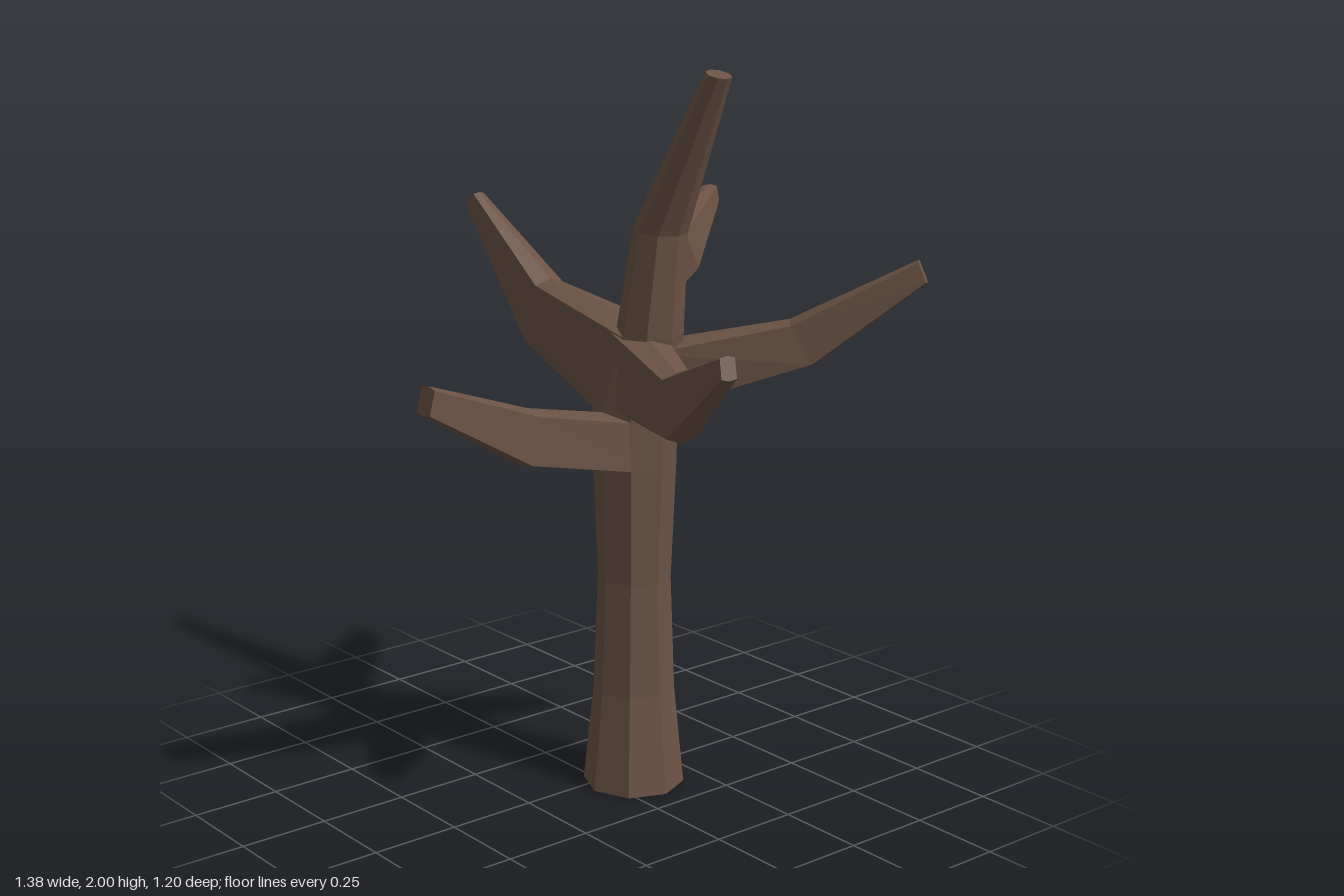
import * as THREE from 'three';

const bark = new THREE.MeshStandardMaterial({ color: 0x6b5344, flatShading: true });
bark.name = 'bark brown';

// Skin a list of equal-length rings of points and close both ends
function loft(name, rings) {
  const pos = [];
  const tri = (...pts) => pts.forEach(p => pos.push(p.x, p.y, p.z));
  const n = rings[0].length;
  for (let r = 0; r < rings.length - 1; r++) {
    const a = rings[r], b = rings[r + 1];
    for (let i = 0; i < n; i++) {
      const j = (i + 1) % n;
      tri(a[i], b[i], a[j]);
      tri(a[j], b[i], b[j]);
    }
  }
  const first = rings[0], last = rings[rings.length - 1];
  for (let i = 1; i < n - 1; i++) {
    tri(first[0], first[i], first[i + 1]);
    tri(last[0], last[i + 1], last[i]);
  }
  const geometry = new THREE.BufferGeometry();
  geometry.setAttribute('position', new THREE.Float32BufferAttribute(pos, 3));
  geometry.computeVertexNormals();
  const mesh = new THREE.Mesh(geometry, bark);
  mesh.name = name;
  return mesh;
}

// Octagonal ring: centre x, height, radius, and slope of the ring along x
function trunkRing([x, y, r, slope = 0]) {
  return Array.from({ length: 8 }, (_, i) => {
    const a = i * Math.PI / 4, dx = Math.cos(a) * r;
    return new THREE.Vector3(x + dx, y - dx * slope, -0.08 + Math.sin(a) * r);
  });
}

// Branch of tall six-sided sections; each station is [top point, bottom point, half width]
function branch(name, stations) {
  const st = stations.map(([t, b, w]) => ({
    top: new THREE.Vector3(...t), bottom: new THREE.Vector3(...b), w,
  }));
  const rings = st.map((s, i) => {
    const from = st[Math.max(i - 1, 0)], to = st[Math.min(i + 1, st.length - 1)];
    const dir = to.top.clone().add(to.bottom).sub(from.top).sub(from.bottom);
    const side = new THREE.Vector3(dir.z, 0, -dir.x).setLength(s.w);
    const at = (t, k) => s.top.clone().lerp(s.bottom, t).addScaledVector(side, k);
    return [at(0, 0), at(0.08, 1), at(0.92, 1), at(1, 0), at(0.92, -1), at(0.08, -1)];
  });
  return loft(name, rings);
}

export function createModel() {
  const tree = new THREE.Group();
  tree.name = 'bareTree';

  // Trunk flares at the base and leans into the top leader
  tree.add(loft('trunk', [
    [0.05, 0, 0.14], [0.05, 0.28, 0.112], [0.05, 0.6, 0.1], [0.05, 0.93, 0.113],
    [0.05, 1.07, 0.115], [0.11, 1.29, 0.09], [0.15, 1.57, 0.072, 0.1], [0.37, 1.99, 0.034, 0.27],
  ].map(trunkRing)));

  tree.add(branch('rightBranch', [
    [[0.12, 1.31, -0.08], [0.05, 1.02, -0.08], 0.09],
    [[-0.32, 1.37, -0.08], [-0.38, 1.175, -0.08], 0.048],
    [[-0.65, 1.57, -0.08], [-0.69, 1.525, -0.08], 0.018],
  ]));

  tree.add(branch('frontBranch', [
    [[0.05, 1.06, -0.06], [0.05, 0.9, -0.06], 0.085],
    [[0.05, 1.13, 0.28], [0.05, 0.98, 0.31], 0.058],
    [[0.03, 1.23, 0.575], [0.03, 1.155, 0.595], 0.032],
  ]));

  tree.add(branch('leftBranch', [
    [[0.08, 1.31, -0.06], [0.06, 1.07, -0.06], 0.07],
    [[0.36, 1.245, 0.04], [0.4, 1.07, 0.055], 0.042],
    [[0.665, 1.36, 0.145], [0.68, 1.3, 0.15], 0.02],
  ]));

  tree.add(branch('backLeftBranch', [
    [[0.09, 1.26, -0.1], [0.07, 1.06, -0.1], 0.085],
    [[0.35, 1.33, -0.36], [0.4, 1.21, -0.41], 0.052],
    [[0.605, 1.5, -0.57], [0.625, 1.44, -0.585], 0.02],
  ]));

  tree.add(branch('backBranch', [
    [[0.13, 1.58, -0.09], [0.12, 1.4, -0.09], 0.068],
    [[-0.02, 1.54, -0.25], [-0.01, 1.415, -0.29], 0.054],
    [[-0.155, 1.61, -0.522], [-0.15, 1.56, -0.528], 0.02],
  ]));

  return tree;
}
